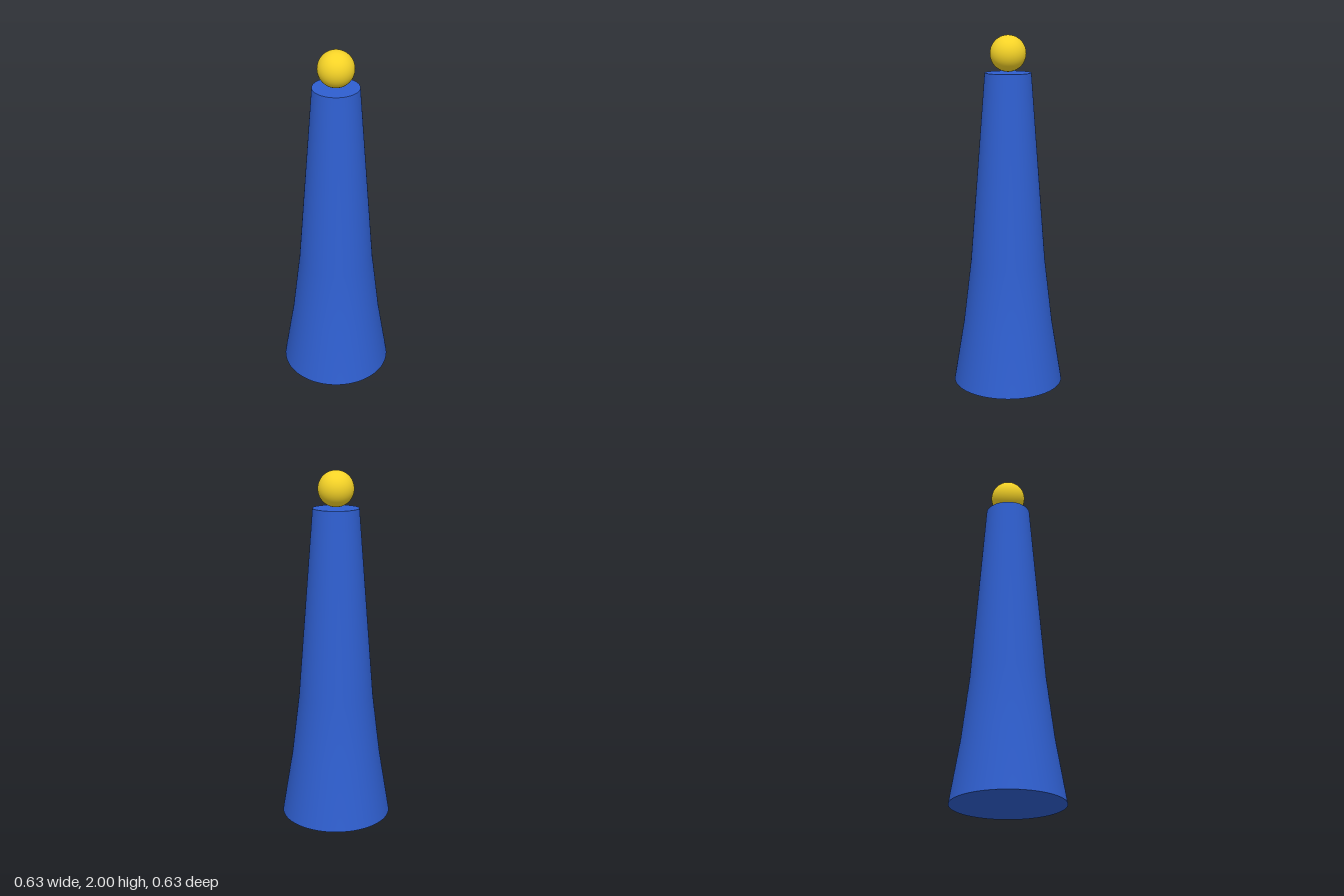
import * as THREE from 'three';

export function createModel() {
  const group = new THREE.Group();
  const blue = new THREE.MeshStandardMaterial({ color: 0x2f5fd0 });
  const yellow = new THREE.MeshStandardMaterial({ color: 0xf5d327 });
  const segments = 96;

  const add = (name, geometry, material, y = 0) => {
    const mesh = new THREE.Mesh(geometry, material);
    mesh.name = name;
    mesh.position.y = y;
    group.add(mesh);
  };

  // Tapered body with a gently flared foot: [radius, height]
  const profile = [[0.315, 0], [0.256, 0.36], [0.213, 0.72], [0.129, 1.795]]
    .map(([r, y]) => new THREE.Vector2(r, y));
  const top = profile[profile.length - 1];
  add('body', new THREE.LatheGeometry(profile, segments), blue);

  // Flat discs closing the body, kept separate for crisp rims
  add('topCap', new THREE.CircleGeometry(top.x, segments).rotateX(-Math.PI / 2), blue, top.y);
  add('baseCap', new THREE.CircleGeometry(profile[0].x, segments).rotateX(Math.PI / 2), blue);

  // Ball resting on the top
  add('ball', new THREE.SphereGeometry(0.1, 48, 32), yellow, 1.9);

  return group;
}
